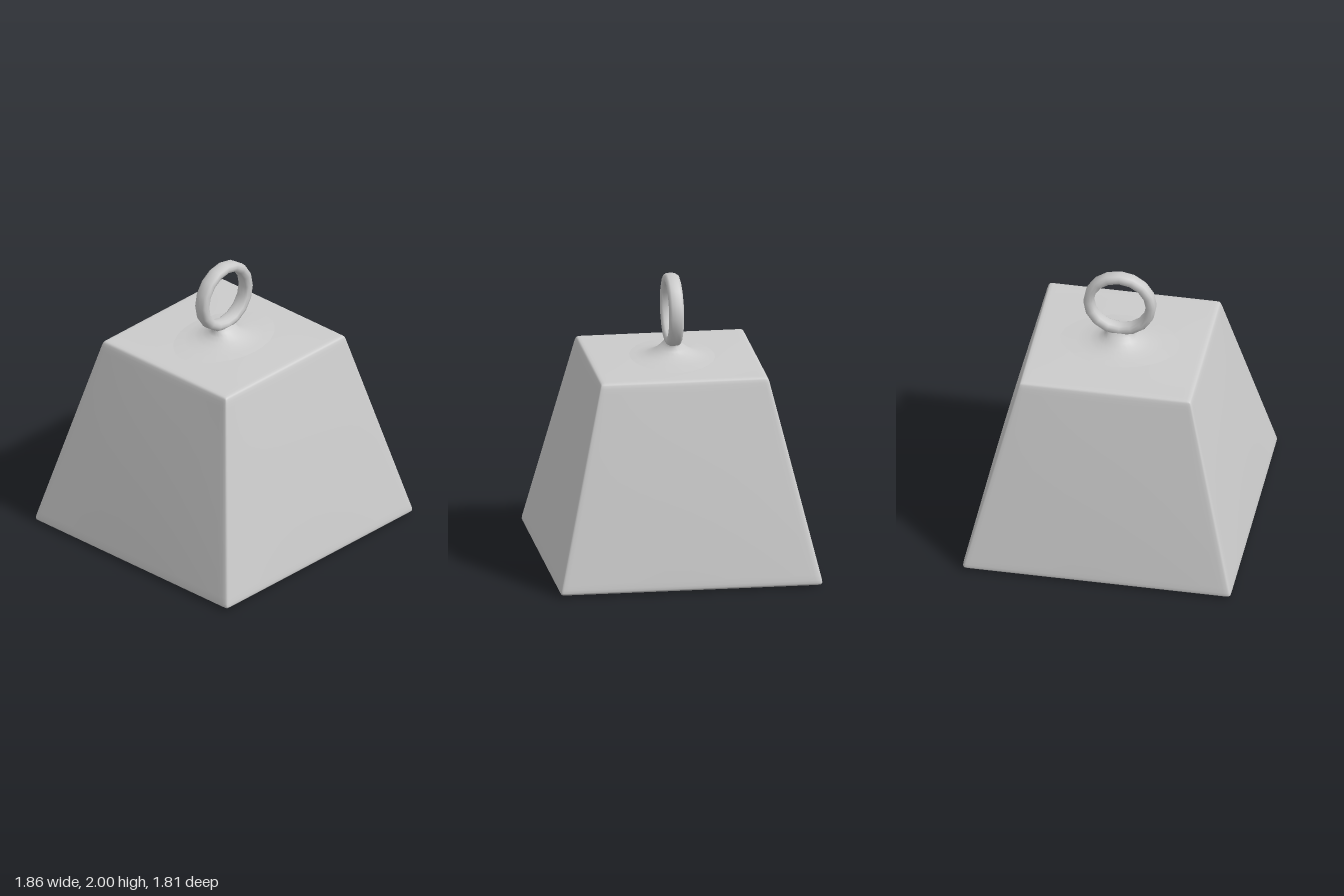
import * as THREE from 'three';
import { mergeVertices } from 'three/addons/utils/BufferGeometryUtils.js';

const material = new THREE.MeshStandardMaterial({ color: 0xcccccc });

// Weld shared corners and smooth the normals
function smooth(geometry) {
  geometry.deleteAttribute('uv');
  geometry.deleteAttribute('normal');
  const welded = mergeVertices(geometry, 1e-5);
  welded.computeVertexNormals();
  return welded;
}

function addMesh(group, name, geometry) {
  const mesh = new THREE.Mesh(geometry, material);
  mesh.name = name;
  group.add(mesh);
  return mesh;
}

// Tapered block with rounded edges and very slightly crowned faces
function taperedBlock() {
  const half = new THREE.Vector3(0.938, 0.7, 0.912);
  const radius = 0.03, crown = 0.01;
  const inner = half.clone().subScalar(radius);
  const geometry = new THREE.BoxGeometry(2, 2, 2, 24, 24, 24);
  const pos = geometry.attributes.position;
  const p = new THREE.Vector3(), core = new THREE.Vector3();
  // crowd the grid towards the edges
  const crowd = (u) => Math.sin(Math.sin(u * Math.PI / 2) * Math.PI / 2);
  for (let i = 0; i < pos.count; i++) {
    p.fromBufferAttribute(pos, i);
    p.set(crowd(p.x), crowd(p.y), crowd(p.z));
    const u = p.clone();
    p.multiply(half);
    core.copy(p).clamp(inner.clone().negate(), inner);
    p.sub(core).normalize().multiplyScalar(radius).add(core);
    const t = (p.y + half.y) / (2 * half.y);
    const taper = 1 - 0.365 * t;
    const bulge = (a, b) => crown * (1 - a * a) * (1 - b * b);
    pos.setXYZ(i,
      p.x * taper + u.x * bulge(u.y, u.z),
      p.y + half.y + 0.012 + u.y * bulge(u.x, u.z),
      p.z * taper + u.z * bulge(u.x, u.y));
  }
  return smooth(geometry);
}

// Neck flaring out into the block: rows of [y, half width, half depth]
function flaredNeck() {
  const rows = [
    [1.412, 0.5, 0.36], [1.424, 0.3, 0.25], [1.434, 0.21, 0.195],
    [1.452, 0.152, 0.145], [1.475, 0.115, 0.107], [1.5, 0.099, 0.074],
    [1.525, 0.1, 0.046], [1.55, 0.11, 0.036],
  ];
  const points = rows.map(([y]) => new THREE.Vector2(1, y));
  const geometry = new THREE.LatheGeometry(points, 24);
  const pos = geometry.attributes.position;
  for (let i = 0; i < pos.count; i++) {
    const [y, hx, hz] = rows[i % rows.length];
    pos.setXYZ(i, pos.getX(i) * hx, y, pos.getZ(i) * hz);
  }
  return smooth(geometry);
}

// Ring with a band-like, flattened cross-section
function ringGeometry() {
  const sides = 12, segments = 16, R = 0.217;
  const geometry = new THREE.TorusGeometry(R, 0.035, sides, segments);
  const pos = geometry.attributes.position;
  const soften = (v) => Math.sign(v) * Math.abs(v) ** 0.75;
  for (let i = 0; i < pos.count; i++) {
    const around = (i % (segments + 1)) / segments * Math.PI * 2;
    const across = Math.floor(i / (segments + 1)) / sides * Math.PI * 2;
    const r = R + 0.036 * soften(Math.cos(across));
    pos.setXYZ(i, r * Math.cos(around), r * Math.sin(around), 0.052 * soften(Math.sin(across)));
  }
  return smooth(geometry);
}

export function createModel() {
  const group = new THREE.Group();
  group.name = 'weight';
  addMesh(group, 'block', taperedBlock());
  addMesh(group, 'neck', flaredNeck());
  addMesh(group, 'ring', ringGeometry()).position.y = 1.747;
  return group;
}
